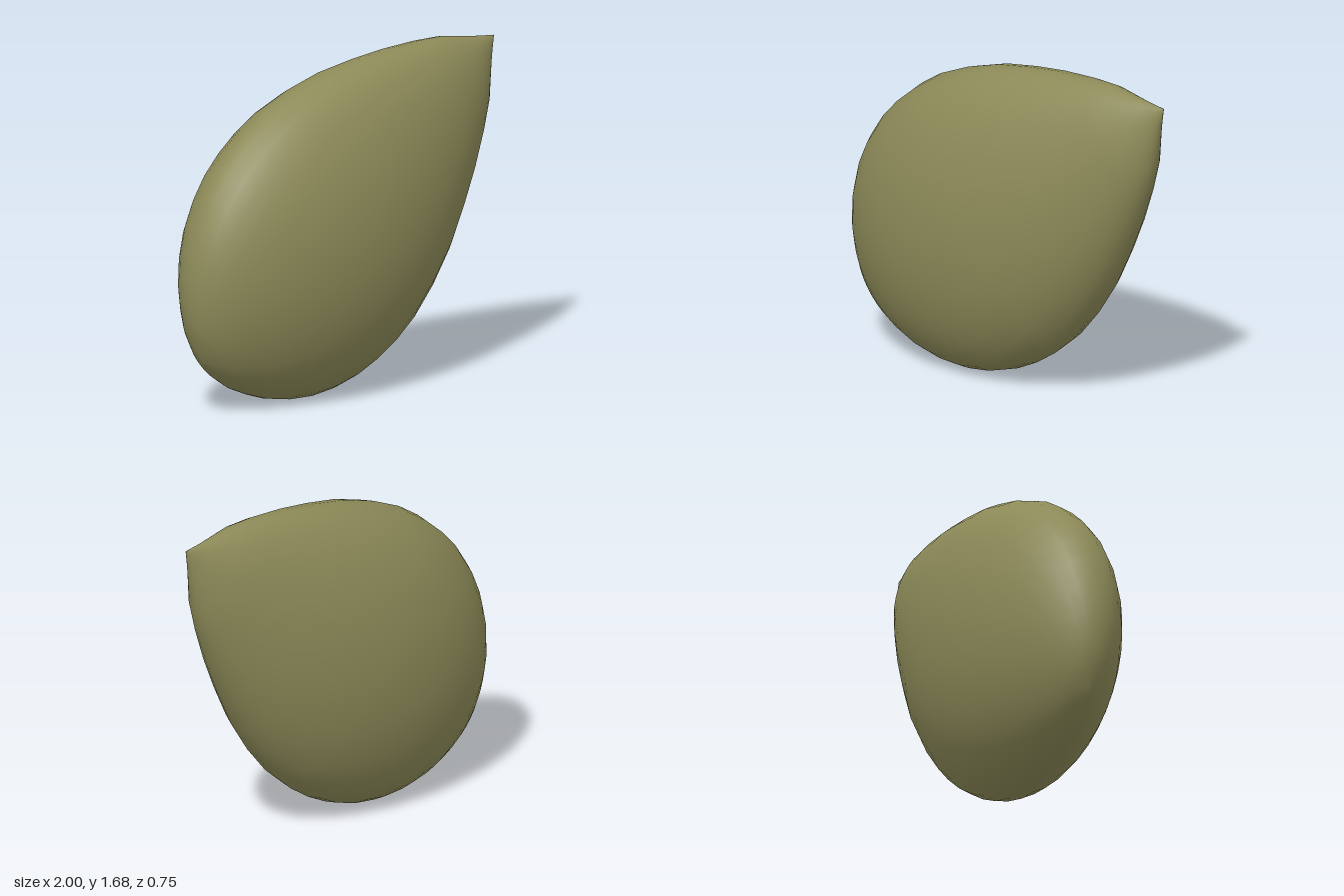
import * as THREE from 'three';

export function createModel() {
  const group = new THREE.Group();
  group.name = 'seed';

  // Teardrop half-profile: [radius, distance along the axis] from blunt base to tip
  const profile = [
    [0, 0], [0.12, 0.015], [0.235, 0.058], [0.33, 0.115], [0.42, 0.18], [0.52, 0.277],
    [0.605, 0.388], [0.67, 0.51], [0.715, 0.638], [0.739, 0.77], [0.747, 0.91],
    [0.737, 1.06], [0.694, 1.246], [0.626, 1.44], [0.532, 1.63], [0.437, 1.8],
    [0.328, 1.97], [0.233, 2.1], [0.1, 2.235], [0.065, 2.272], [0, 2.345],
  ].map(([r, t]) => new THREE.Vector2(r, t));

  // Solid of revolution, flattened front to back and leaned toward the upper left
  const shell = new THREE.Mesh(
    new THREE.LatheGeometry(profile, 32),
    new THREE.MeshStandardMaterial({ color: 0x8c8a58 })
  );
  shell.name = 'seedShell';
  shell.scale.z = 0.505;
  shell.rotation.z = -Math.atan2(1.9, 1.375);
  shell.position.set(-0.905, 0.27, 0);
  group.add(shell);

  return group;
}
